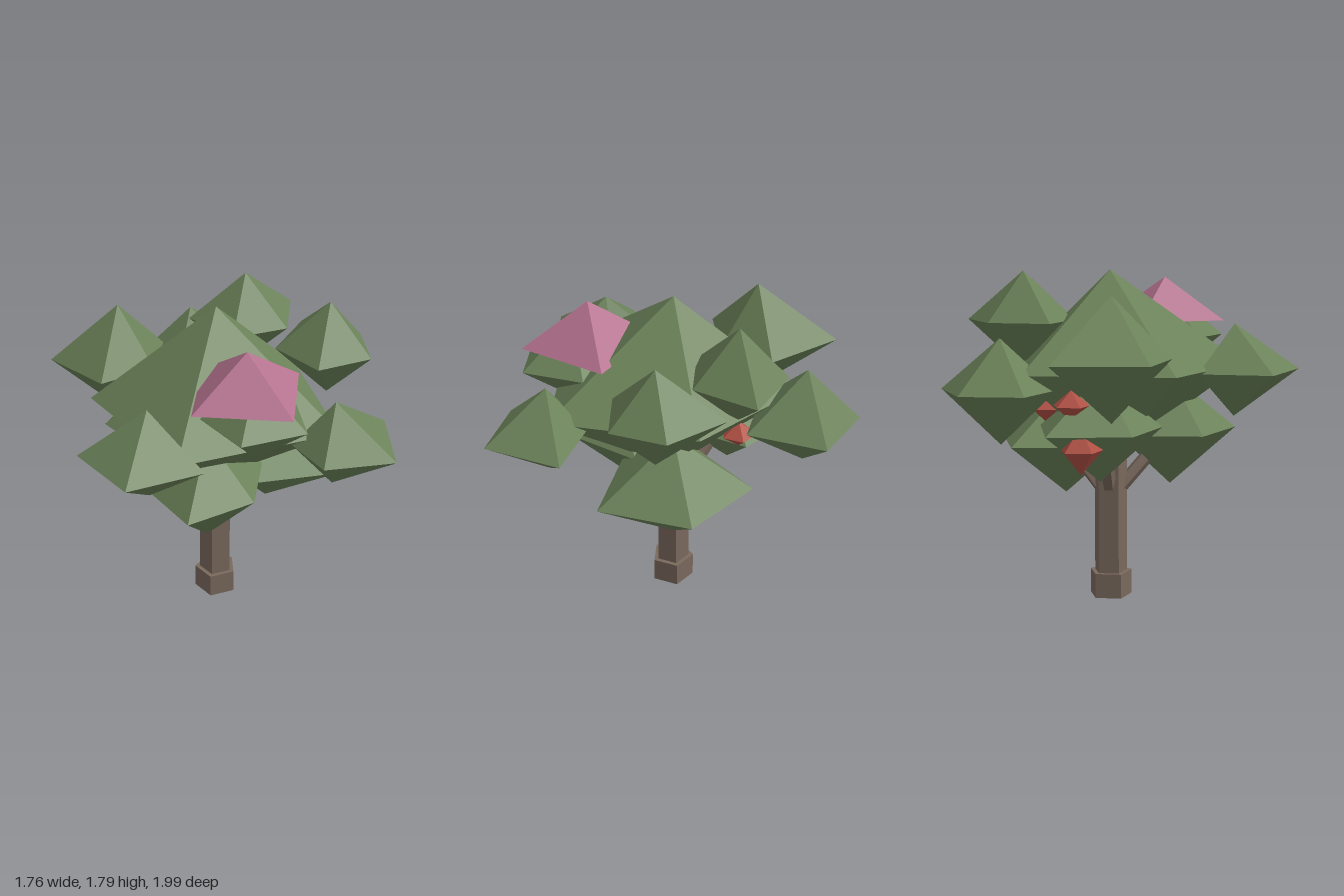
import * as THREE from 'three';

const SIDES = 5;
const mat = (color) => new THREE.MeshStandardMaterial({ color, flatShading: true, roughness: 1 });

// Double pyramid: five ring corners with their own radii, one apex above and one below
function gemGeometry(radii, up, down) {
  const ring = radii.map((r, i) => {
    const a = (i / radii.length) * Math.PI * 2;
    return [r * Math.cos(a), 0, r * Math.sin(a)];
  });
  const pos = [];
  ring.forEach((p, i) => {
    const q = ring[(i + 1) % ring.length];
    pos.push(0, up, 0, ...q, ...p);
    pos.push(0, -down, 0, ...p, ...q);
  });
  const g = new THREE.BufferGeometry();
  g.setAttribute('position', new THREE.Float32BufferAttribute(pos, 3));
  g.computeVertexNormals();
  return g;
}

export function createModel() {
  const tree = new THREE.Group();
  tree.name = 'tree';
  const bark = mat(0x7a695d);
  const leaf = mat(0x6b8259);
  const pink = mat(0xb5728f);
  const red = mat(0xb05044);

  const add = (name, geometry, material, x, y, z) => {
    const mesh = new THREE.Mesh(geometry, material);
    mesh.name = name;
    mesh.position.set(x, y, z);
    tree.add(mesh);
    return mesh;
  };

  // Trunk and its wider foot, one corner pointing to +x
  const prism = (r, h) => new THREE.CylinderGeometry(r, r, h, SIDES, 1, false, Math.PI / 2);
  add('trunkFoot', prism(0.12, 0.135), bark, 0.04, 0.0675, -0.05);
  add('trunk', prism(0.093, 1.1), bark, 0.04, 0.6, -0.05);

  // Branches from the trunk into the lower leaf clumps
  const branch = (startY, x, y, z) => {
    const a = new THREE.Vector3(0.04, startY, -0.05);
    const b = new THREE.Vector3(x, y, z);
    const dir = b.clone().sub(a);
    const mid = a.clone().add(b).multiplyScalar(0.5);
    const m = add('branch', prism(0.04, dir.length()), bark, mid.x, mid.y, mid.z);
    m.quaternion.setFromUnitVectors(new THREE.Vector3(0, 1, 0), dir.normalize());
  };
  branch(0.54, -0.215, 0.91, 0.19);
  branch(0.54, 0.345, 0.84, 0.02);
  branch(0.56, -0.07, 0.98, -0.39);

  // Leaf clumps: centre, half height, ring radii starting at +x and turning towards +z
  const clump = (name, x, y, z, h, radii) => add(name, gemGeometry(radii, h, h), leaf, x, y, z);
  clump('crown', 0.04, 1.27, -0.05, 0.52, [0.57, 0.75, 0.75, 0.67, 0.67]);
  clump('leftmostClump', -0.587, 1.255, 0.183, 0.25, [0.15, 0.34, 0.365, 0.355, 0.31]);
  clump('frontClump', 0.243, 1.22, 0.655, 0.24, [0.365, 0.355, 0.27, 0.22, 0.2]);
  clump('rightClump', 0.635, 1.455, 0.183, 0.27, [0.245, 0.26, 0.28, 0.29, 0.35]);
  clump('upperRightClump', 0.44, 1.52, -0.287, 0.265, [0.34, 0.27, 0.27, 0.31, 0.255]);
  clump('backRightClump', 0.365, 1.185, -0.682, 0.273, [0.35, 0.37, 0.29, 0.28, 0.285]);
  clump('backLeftClump', -0.21, 1.36, -0.58, 0.32, [0.3, 0.23, 0.31, 0.375, 0.44]);
  clump('lowerFrontClump', -0.215, 0.91, 0.19, 0.305, [0.385, 0.29, 0.375, 0.33, 0.35]);
  clump('lowerRightClump', 0.345, 0.84, 0.02, 0.3, [0.4, 0.46, 0.365, 0.36, 0.42]);
  clump('lowerBackClump', -0.06, 0.98, -0.39, 0.28, [0.35, 0.3, 0.33, 0.33, 0.4]);
  clump('blossomClump', -0.113, 1.41, 0.45, 0.24, [0.265, 0.3, 0.3, 0.28, 0.28]);

  // Blossom cap: four-sided pyramid with corners on the axes
  add('blossomCap', new THREE.ConeGeometry(0.353, 0.235, 4), pink, -0.105, 1.6225, 0.37);

  // Small red fruits under the back clumps
  const fruit = (x, y, z, r, h) =>
    add('fruit', gemGeometry(Array(SIDES).fill(r), h, h), red, x, y, z);
  fruit(-0.07, 0.905, -0.645, 0.115, 0.125);
  fruit(0.275, 1.065, -0.35, 0.095, 0.075);
  fruit(0.01, 1.12, -0.59, 0.1, 0.08);

  return tree;
}
